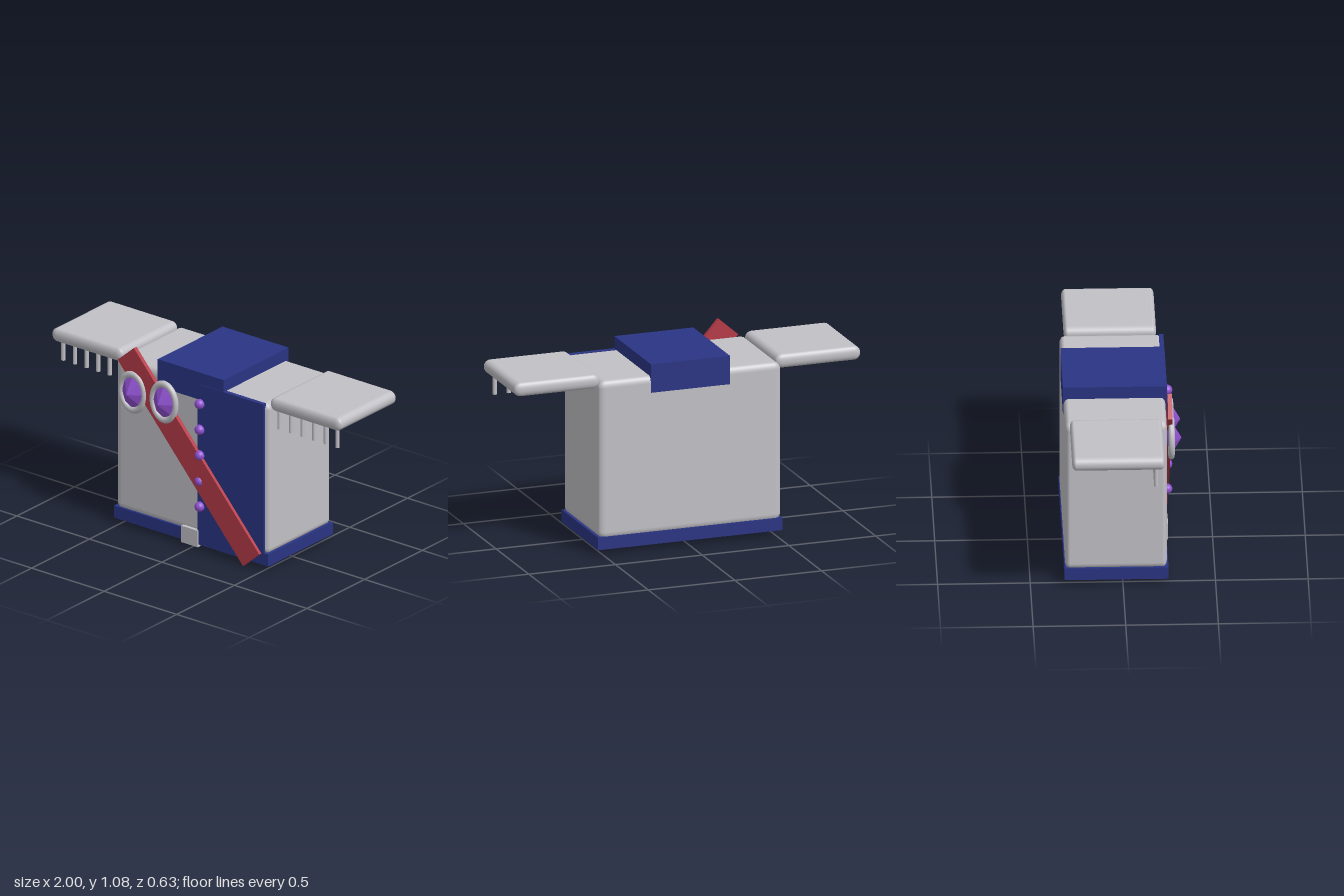
import * as THREE from 'three';
import { RoundedBoxGeometry } from 'three/addons/geometries/RoundedBoxGeometry.js';

const mat = (name, color, flatShading = false) => {
  const m = new THREE.MeshStandardMaterial({ color, flatShading });
  m.name = name;
  return m;
};

export function createModel() {
  const silver = mat('silver grey', 0xc0c0c6);
  const navy = mat('navy blue', 0x2a3484);
  const red = mat('sash red', 0xb53a46);
  const purple = mat('gem purple', 0x8f50cf);
  const facet = purple.clone();
  facet.flatShading = true;

  const model = new THREE.Group();
  model.name = 'uniformedBox';

  const add = (name, geometry, material, x, y, z, parent = model) => {
    const mesh = new THREE.Mesh(geometry, material);
    mesh.name = name;
    mesh.position.set(x, y, z);
    parent.add(mesh);
    return mesh;
  };
  // Box given by its minimum and maximum on each axis
  const box = (name, material, [x0, x1], [y0, y1], [z0, z1]) =>
    add(name, new THREE.BoxGeometry(x1 - x0, y1 - y0, z1 - z0), material,
      (x0 + x1) / 2, (y0 + y1) / 2, (z0 + z1) / 2);
  // Rounded box whose edge rounding is shallower along z
  const softBox = (w, h, d, r, zScale) =>
    new RoundedBoxGeometry(w, h, d / zScale, 4, r).scale(1, 1, zScale);

  // Torso with navy trim
  add('body', softBox(1.05, 0.89, 0.55, 0.04, 0.65), silver, -0.003, 0.535, -0.037);
  box('belt', navy, [-0.533, 0.53], [0.035, 0.105], [-0.315, 0.246]);
  box('collar', navy, [-0.23, 0.225], [0.89, 1.05], [-0.315, 0.247]);
  box('frontPanel', navy, [0.046, 0.5], [0.037, 0.981], [0.225, 0.25]);
  box('buckle', silver, [-0.06, 0.054], [0.023, 0.12], [0.235, 0.258]);

  // Diagonal sash
  const sash = add('sash', new THREE.BoxGeometry(1.307, 0.149, 0.024), red, -0.001, 0.543, 0.257);
  sash.rotation.z = -0.848;

  // Shoulder boards with fringe along the front
  for (const side of [-1, 1]) {
    const shoulder = new THREE.Group();
    shoulder.name = side > 0 ? 'leftEpaulette' : 'rightEpaulette';
    model.add(shoulder);
    add('shoulderBoard', softBox(0.49, 0.077, 0.5, 0.037, 0.6), silver, side * 0.753, 0.975, -0.038, shoulder);
    for (let i = 0; i < 6; i++) {
      add('fringe', new THREE.CylinderGeometry(0.012, 0.012, 0.13, 12), silver,
        side * (0.545 + i * 0.08), 0.888, 0.166, shoulder);
    }
  }

  // Medals: oval ring around a faceted gem
  for (const x of [-0.388, -0.172]) {
    const ring = add('medalRing', new THREE.TorusGeometry(0.085, 0.017, 12, 40), silver, x, 0.82, 0.265);
    ring.scale.set(0.94, 1.22, 1);
    const gem = new THREE.SphereGeometry(1, 8, 2).rotateX(Math.PI / 2).scale(0.07, 0.092, 0.05);
    add('medalGem', gem, facet, x, 0.82, 0.27);
  }

  // Row of buttons down the panel edge
  for (let i = 0; i < 5; i++) {
    add('button', new THREE.SphereGeometry(0.028, 20, 14), purple, 0.067, 0.87 - i * 0.151, 0.257);
  }

  return model;
}
